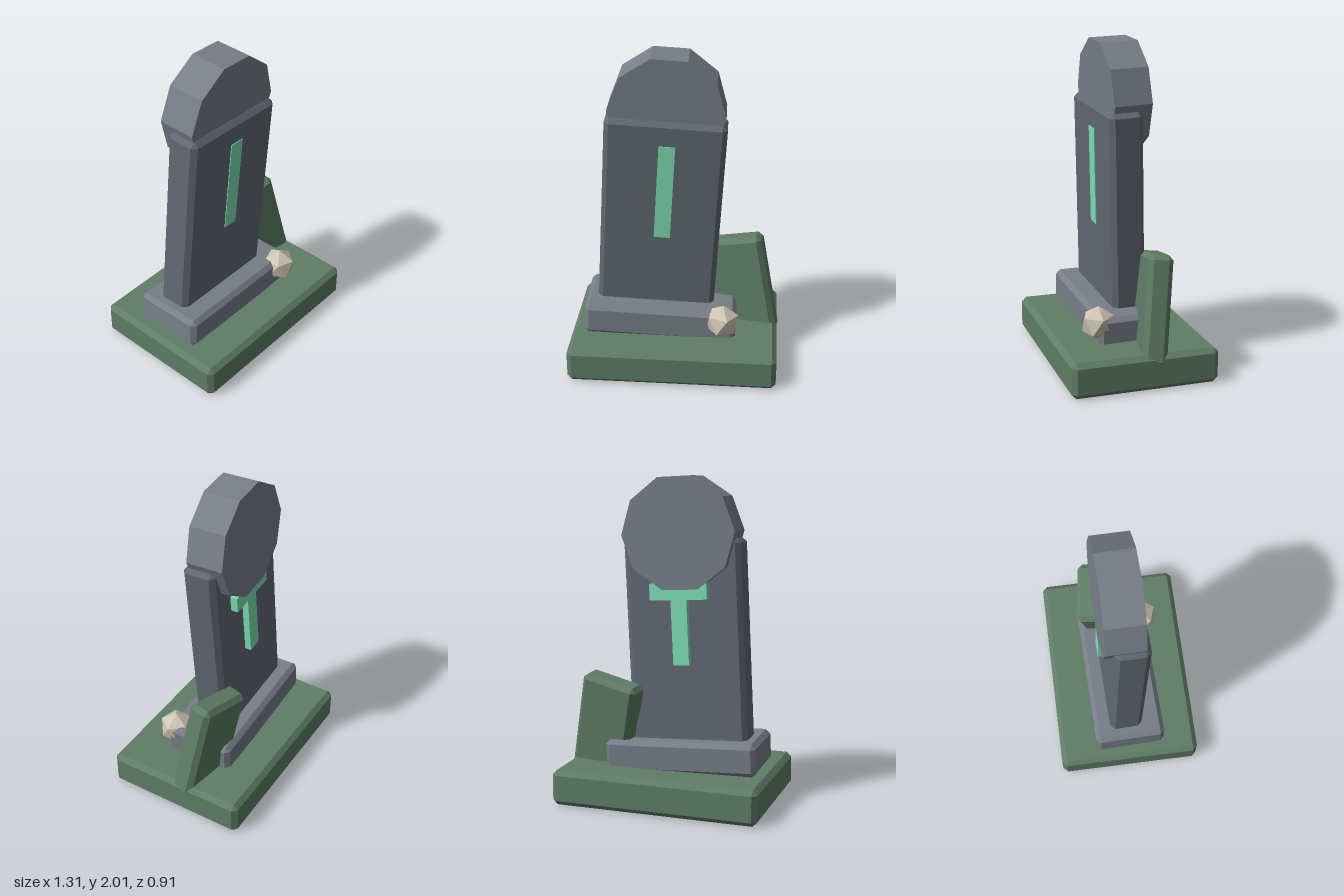
import * as THREE from 'three';
import { ConvexGeometry } from 'three/addons/geometries/ConvexGeometry.js';

const paint = (color) => new THREE.MeshStandardMaterial({ color, flatShading: true });
const MOSS = paint(0x5f7d66);
const STONE = paint(0x626872);
const PALE_STONE = paint(0x787e88);
const GLOW = paint(0x7de0b4);
const PEBBLE = paint(0xcfc6b4);

// Box with every edge and corner cut off by b
function chamferBox(w, h, d, b) {
  const points = [];
  for (const sx of [-1, 1]) for (const sy of [-1, 1]) for (const sz of [-1, 1]) {
    const x = w / 2, y = h / 2, z = d / 2;
    points.push(
      new THREE.Vector3(sx * x, sy * (y - b), sz * (z - b)),
      new THREE.Vector3(sx * (x - b), sy * y, sz * (z - b)),
      new THREE.Vector3(sx * (x - b), sy * (y - b), sz * z)
    );
  }
  return new ConvexGeometry(points);
}

function add(parent, name, geometry, material, position, rotation = [0, 0, 0]) {
  const mesh = new THREE.Mesh(geometry, material);
  mesh.name = name;
  mesh.position.set(...position);
  mesh.rotation.set(...rotation);
  parent.add(mesh);
  return mesh;
}

export function createModel() {
  const model = new THREE.Group();
  model.name = 'gravestone';

  // Ground block and the plinth sunk slightly into it
  add(model, 'base', chamferBox(1.3, 0.22, 0.91, 0.03), MOSS, [0, 0.11, 0]);
  add(model, 'plinth', chamferBox(0.955, 0.2, 0.45, 0.028), PALE_STONE,
    [-0.093, 0.3, 0], [0, 0.025, -0.045]);

  // Leaning headstone: slab, round head and inlaid mark share one tilt
  const headstone = new THREE.Group();
  headstone.name = 'headstone';
  headstone.position.set(-0.093, 0.98, 0.003);
  headstone.rotation.set(0.037, 0.026, -0.059);
  model.add(headstone);

  add(headstone, 'slab', chamferBox(0.735, 1.28, 0.21, 0.03), STONE, [0, 0, 0]);
  const disc = new THREE.CylinderGeometry(0.355, 0.355, 0.235, 10, 1, false, Math.PI / 2);
  disc.rotateX(Math.PI / 2);
  add(headstone, 'roundHead', disc, PALE_STONE, [-0.001, 0.68, -0.045]);
  add(headstone, 'markUpright', new THREE.BoxGeometry(0.1, 0.61, 0.256), GLOW, [0.015, 0.187, -0.018]);
  add(headstone, 'markCrossbar', new THREE.BoxGeometry(0.36, 0.1, 0.08), GLOW, [0.015, 0.33, -0.111]);

  // Broken stone leaning behind, and a pebble on the plinth corner
  add(model, 'leaningStone', chamferBox(0.38, 0.66, 0.15, 0.03), MOSS,
    [0.41, 0.432, -0.112], [-0.095, -0.165, 0.19]);
  add(model, 'pebble', new THREE.IcosahedronGeometry(0.11, 0), PEBBLE,
    [0.305, 0.329, 0.195], [0, 0, -0.59]);

  return model;
}
